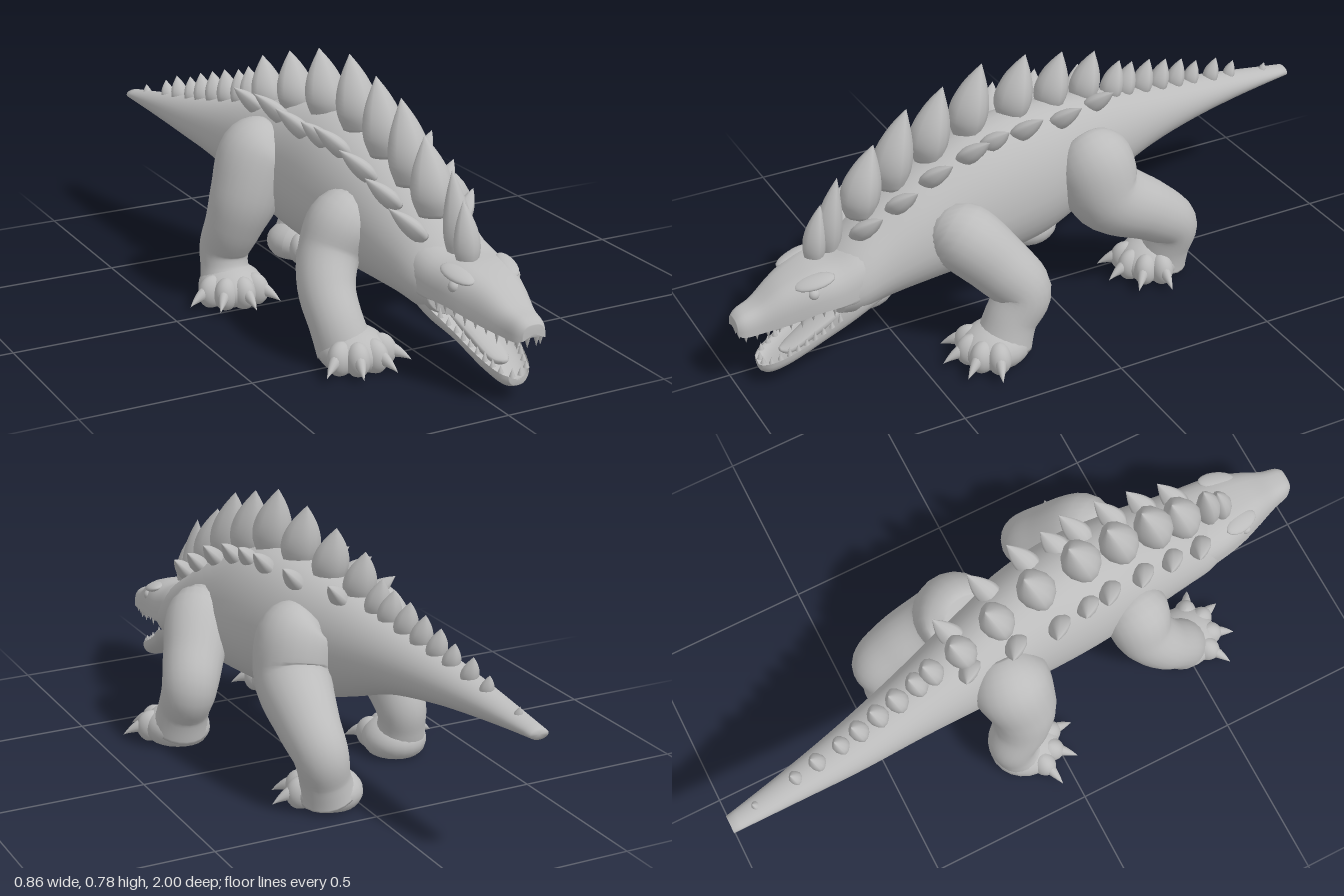
import * as THREE from 'three';

const V = (x, y, z) => new THREE.Vector3(x, y, z);

// Smooth interpolation through the rows of a small table
function resample(rows, per) {
  const out = [], n = rows.length - 1;
  for (let s = 0; s <= n * per; s++) {
    const i = Math.min(Math.floor(s / per), n - 1), t = s / per - i;
    const [a, b, c, d] = [rows[Math.max(i - 1, 0)], rows[i], rows[i + 1], rows[Math.min(i + 2, n)]];
    out.push(b.map((_, k) => 0.5 * (2 * b[k] + (c[k] - a[k]) * t
      + (2 * a[k] - 5 * b[k] + 4 * c[k] - d[k]) * t * t
      + (3 * b[k] - a[k] - 3 * c[k] + d[k]) * t * t * t)));
  }
  return out;
}

// Closed skin over rings of points, with a fan at each end
function skin(rings) {
  const m = rings[0].length, pts = rings.flat(), idx = [];
  for (let i = 0; i < rings.length - 1; i++) {
    for (let j = 0; j < m; j++) {
      const a = i * m + j, b = i * m + (j + 1) % m;
      idx.push(a, b, a + m, b, b + m, a + m);
    }
  }
  const last = (rings.length - 1) * m, c0 = pts.length;
  for (const r of [rings[0], rings[rings.length - 1]]) {
    pts.push(r.reduce((s, p) => s.add(p), V(0, 0, 0)).divideScalar(m));
  }
  for (let j = 0; j < m; j++) {
    const k = (j + 1) % m;
    idx.push(c0, k, j, c0 + 1, last + j, last + k);
  }
  const g = new THREE.BufferGeometry().setFromPoints(pts);
  g.setIndex(idx);
  g.computeVertexNormals();
  return g;
}

// Rows: z, centre x, half width, top y, widest y, bottom y
function loft(rows, power = 2, sides = 32) {
  const e = 2 / power;
  return skin(resample(rows, 5).map(([z, cx, hw, top, mid, bot]) =>
    Array.from({ length: sides }, (_, j) => {
      const a = j / sides * Math.PI * 2, c = Math.cos(a), s = Math.sin(a);
      const h = s > 0 ? top - mid : mid - bot;
      return V(cx + hw * Math.sign(c) * Math.abs(c) ** e, mid + h * Math.sign(s) * Math.abs(s) ** e, z);
    })));
}

// Rows: x, y, z, radius
function limb(rows, sides = 22) {
  const st = resample(rows, 6);
  return skin(st.map(([x, y, z, r], i) => {
    const p = st[Math.max(i - 1, 0)], q = st[Math.min(i + 1, st.length - 1)];
    const t = V(q[0] - p[0], q[1] - p[1], q[2] - p[2]).normalize();
    const u = V(1, 0, 0).addScaledVector(t, -t.x).normalize(), v = t.clone().cross(u);
    return Array.from({ length: sides }, (_, j) => {
      const a = j / sides * Math.PI * 2;
      return V(x, y, z).addScaledVector(u, r * Math.cos(a)).addScaledVector(v, r * Math.sin(a));
    });
  }));
}

// Curved tapering blade standing on the origin, bending towards -z
function blade(h, hx, hz, bend, widths, power = 2, sides = 12) {
  const e = 2 / power;
  return skin(resample(widths.map((w, i) => [i / (widths.length - 1), w]), 3).map(([t, w]) =>
    Array.from({ length: sides }, (_, j) => {
      const a = j / sides * Math.PI * 2, c = Math.cos(a), s = Math.sin(a), k = Math.max(w, 0.01);
      return V(hx * k * Math.sign(s) * Math.abs(s) ** e, h * t,
        hz * k * Math.sign(c) * Math.abs(c) ** e - bend * t * t);
    })));
}
const LEAF = [0.7, 0.97, 1, 0.82, 0.47, 0.01], HORN = [1, 0.85, 0.5, 0.01];

const BODY = [
  [-1, -0.2, 0.028, 0.42, 0.405, 0.39], [-0.8, -0.18, 0.05, 0.455, 0.415, 0.375],
  [-0.6, -0.155, 0.075, 0.49, 0.42, 0.355], [-0.4, -0.12, 0.1, 0.53, 0.42, 0.32],
  [-0.2, -0.08, 0.13, 0.575, 0.41, 0.25], [0, -0.035, 0.16, 0.61, 0.39, 0.195],
  [0.2, -0.01, 0.172, 0.605, 0.37, 0.185], [0.4, 0.01, 0.16, 0.535, 0.34, 0.18],
  [0.55, 0.025, 0.145, 0.455, 0.3, 0.175], [0.64, 0.037, 0.136, 0.395, 0.27, 0.165],
  [0.7, 0.045, 0.115, 0.345, 0.255, 0.175],
];
const UPPER = [
  [0.52, 0.025, 0.12, 0.4, 0.28, 0.2], [0.62, 0.036, 0.13, 0.385, 0.265, 0.22],
  [0.7, 0.045, 0.126, 0.358, 0.25, 0.235], [0.78, 0.052, 0.112, 0.347, 0.242, 0.252],
  [0.86, 0.06, 0.085, 0.32, 0.22, 0.236], [0.93, 0.066, 0.06, 0.277, 0.205, 0.217],
  [0.98, 0.07, 0.048, 0.26, 0.2, 0.21], [1, 0.072, 0.034, 0.245, 0.205, 0.212],
];
const LOWER = [
  [0.52, 0.03, 0.09, 0.23, 0.24, 0.2], [0.66, 0.046, 0.116, 0.19, 0.222, 0.15],
  [0.75, 0.06, 0.09, 0.13, 0.165, 0.112], [0.85, 0.068, 0.07, 0.085, 0.115, 0.065],
  [0.91, 0.07, 0.05, 0.062, 0.09, 0.045], [0.935, 0.07, 0.028, 0.068, 0.08, 0.052],
];

// Linear lookup of a table row at depth z
function at(rows, z) {
  const i = Math.max(0, Math.min(rows.length - 2, rows.findIndex(r => r[0] > z) - 1));
  const t = (z - rows[i][0]) / (rows[i + 1][0] - rows[i][0]);
  return rows[i].map((v, k) => v + (rows[i + 1][k] - v) * t);
}

export function createModel() {
  const model = new THREE.Group();
  const hide = new THREE.MeshStandardMaterial({ color: 0xbcbcbc });
  hide.name = 'grey hide';
  const add = (name, geo, parent = model) => {
    const m = new THREE.Mesh(geo, hide);
    m.name = name;
    parent.add(m);
    return m;
  };
  const group = (name) => {
    const g = new THREE.Group();
    g.name = name;
    model.add(g);
    return g;
  };

  add('body', loft(BODY));
  add('upperJaw', loft(UPPER, 2.9));
  add('lowerJaw', loft(LOWER, 2.4));
  add('tongue', loft([[0.66, 0.05, 0.05, 0.21, 0.19, 0.17], [0.76, 0.06, 0.04, 0.155, 0.14, 0.11],
    [0.84, 0.068, 0.03, 0.112, 0.1, 0.08], [0.87, 0.07, 0.008, 0.1, 0.095, 0.09]], 2, 14));

  // Eyes and brows
  for (const s of [-1, 1]) {
    const eye = add('eye', new THREE.SphereGeometry(0.017, 16, 12));
    eye.position.set(0.052 + s * 0.094, 0.3, 0.785);
    const brow = add('brow', new THREE.SphereGeometry(1, 16, 12));
    brow.scale.set(0.03, 0.013, 0.06);
    brow.position.set(0.052 + s * 0.078, 0.328, 0.775);
    brow.rotation.set(0.2, -s * 0.25, -s * 0.2);
  }

  // Teeth along both jaw rims
  const teeth = group('teeth');
  const tooth = (x, y, z, h, dir) => {
    const m = add('tooth', new THREE.ConeGeometry(0.009, h, 7), teeth);
    m.position.set(x, y + dir * h * 0.3, z);
    if (dir < 0) m.rotation.x = Math.PI;
  };
  for (const s of [-1, 1]) {
    for (let i = 0; i < 9; i++) {
      const u = at(UPPER, 0.73 + i * 0.031), l = at(LOWER, 0.71 + i * 0.025);
      tooth(u[1] + s * (u[2] - 0.012), u[4], u[0], i % 3 ? 0.03 : 0.042, -1);
      tooth(l[1] + s * (l[2] - 0.01), l[4], l[0], i % 3 ? 0.022 : 0.03, 1);
    }
    tooth(0.072 + s * 0.014, 0.205, 0.99, 0.032, -1);
    tooth(0.07 + s * 0.013, 0.08, 0.925, 0.024, 1);
  }

  // Central row of back plates: tip z, tip y
  const plates = group('backPlates');
  [[0.705, 0.505], [0.65, 0.575], [0.53, 0.64], [0.42, 0.72], [0.3, 0.755], [0.17, 0.79], [0.02, 0.775],
    [-0.115, 0.74], [-0.24, 0.7], [-0.33, 0.645], [-0.38, 0.625], [-0.45, 0.61], [-0.515, 0.59],
    [-0.58, 0.57], [-0.64, 0.545], [-0.72, 0.53], [-0.79, 0.5], [-0.92, 0.455]].forEach(([z, tip]) => {
    const b = at(BODY, Math.min(z + 0.02, 0.69)), base = b[3] - 0.025, h = tip - base;
    const slim = z > 0.6 ? 0.65 : 1, bend = h * 0.24 * slim;
    const p = add('backPlate', blade(h, Math.min(0.063, h * 0.34) * slim, Math.min(0.06, h * 0.3) * slim,
      bend, LEAF, 1.65), plates);
    p.position.set(b[1] - (z > -0.3 ? 0.013 : 0), base, z + bend);
  });

  // Smaller plates along the flanks, leaning outwards: z, right offset, left offset, length
  const flank = group('flankPlates');
  [[0.59, 0.078, 0.045, 0.125], [0.48, 0.083, 0.062, 0.12], [0.37, 0.088, 0.065, 0.125],
    [0.25, 0.092, 0.07, 0.125], [0.17, 0.1, 0.07, 0.105], [0.07, 0.1, 0.072, 0.125],
    [-0.07, 0.075, 0.07, 0.125], [-0.22, 0.045, 0.04, 0.115]].forEach(([z, right, left, h]) => {
    const b = at(BODY, z);
    for (const [s, off] of [[-1, right], [1, left]]) {
      const y = b[4] + (b[3] - b[4]) * Math.sqrt(1 - (off / b[2]) ** 2);
      const p = add('flankPlate', blade(h, 0.026, 0.036, h * 0.2, LEAF, 1.5), flank);
      p.position.set(b[1] + s * (off - 0.01), y - 0.025, z + 0.025);
      p.rotation.set(-0.25, 0, -s * 0.72);
    }
  });

  // Foot with four clawed toes, heading measured from +z towards +x
  const flatSphere = (rx, ry, rz) => {
    const g = new THREE.SphereGeometry(1, 22, 16).scale(rx, ry, rz), p = g.attributes.position;
    for (let i = 0; i < p.count; i++) p.setY(i, Math.max(p.getY(i), -0.042));
    g.computeVertexNormals();
    return g;
  };
  const foot = (name, x, z, heading) => {
    const f = group(name);
    f.position.set(x, 0.048, z);
    f.rotation.y = heading;
    add('footPad', flatSphere(0.098, 0.068, 0.107), f);
    for (const a of [-0.95, -0.33, 0.33, 0.95]) {
      const toe = new THREE.Group();
      toe.name = 'toe';
      toe.rotation.y = a;
      f.add(toe);
      add('toeKnuckle', flatSphere(0.036, 0.05, 0.046), toe).position.z = 0.077;
      const claw = add('claw', blade(0.07, 0.018, 0.023, -0.03, HORN), toe);
      claw.rotation.x = Math.PI / 2;
      claw.position.set(0, 0.005, 0.095);
    }
  };

  add('leftFrontLeg', limb([[0.11, 0.37, 0.36, 0.06], [0.165, 0.37, 0.335, 0.1], [0.225, 0.28, 0.25, 0.093],
    [0.265, 0.2, 0.195, 0.084], [0.268, 0.12, 0.235, 0.078], [0.27, 0.05, 0.26, 0.085]]));
  foot('leftFrontFoot', 0.27, 0.285, 0.27);
  add('rightFrontLeg', limb([[-0.07, 0.37, 0.34, 0.06], [-0.135, 0.36, 0.345, 0.1], [-0.188, 0.28, 0.355, 0.09],
    [-0.222, 0.2, 0.405, 0.082], [-0.225, 0.12, 0.465, 0.077], [-0.21, 0.05, 0.49, 0.082]]));
  foot('rightFrontFoot', -0.195, 0.505, 0.03);
  add('leftHindLeg', limb([[0.03, 0.48, -0.13, 0.07], [0.07, 0.445, -0.14, 0.117], [0.1, 0.33, -0.175, 0.114],
    [0.122, 0.25, -0.305, 0.094], [0.122, 0.18, -0.39, 0.08], [0.105, 0.1, -0.385, 0.074], [0.09, 0.05, -0.375, 0.085]]));
  foot('leftHindFoot', 0.08, -0.348, 0.5);
  add('rightHindLeg', limb([[-0.12, 0.49, -0.1, 0.07], [-0.18, 0.445, -0.1, 0.118], [-0.235, 0.33, -0.085, 0.105],
    [-0.265, 0.24, -0.1, 0.087], [-0.28, 0.16, -0.135, 0.076], [-0.285, 0.1, -0.13, 0.072], [-0.285, 0.05, -0.11, 0.085]]));
  foot('rightHindFoot', -0.28, -0.095, -0.3);

  return model;
}
